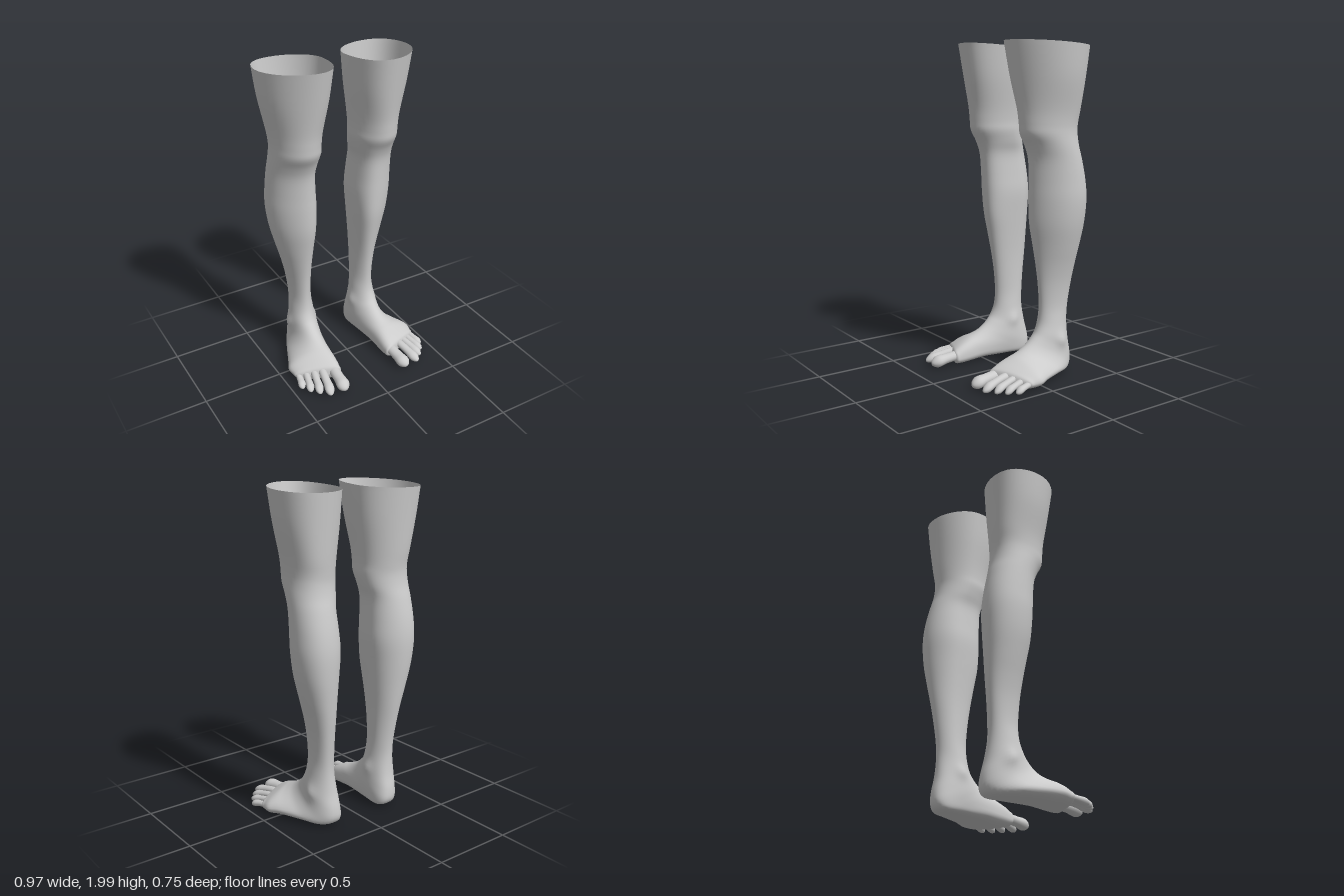
import * as THREE from 'three';

const SEG = 40, SUB = 4;
const material = new THREE.MeshStandardMaterial({ color: 0xcccccc, side: THREE.DoubleSide });

// Leg sections: height, front z, back z, inner x, outer x, front ridge x, back ridge x
const LEG = [
  [1.985, 0.125, -0.35, 0.07, 0.483, 0.23, 0.31],
  [1.8, 0.088, -0.335, 0.086, 0.46, 0.235, 0.3],
  [1.62, 0.053, -0.32, 0.11, 0.42, 0.25, 0.29],
  [1.53, 0.043, -0.31, 0.118, 0.407, 0.255, 0.28],
  [1.47, 0.035, -0.308, 0.118, 0.406, 0.255, 0.28],
  [1.4, -0.002, -0.318, 0.13, 0.41, 0.25, 0.28],
  [1.32, -0.027, -0.34, 0.148, 0.413, 0.245, 0.285],
  [1.2, -0.035, -0.365, 0.142, 0.416, 0.24, 0.29],
  [1.08, -0.038, -0.376, 0.135, 0.416, 0.235, 0.29],
  [0.94, -0.046, -0.37, 0.145, 0.398, 0.23, 0.285],
  [0.8, -0.07, -0.355, 0.156, 0.363, 0.23, 0.27],
  [0.68, -0.09, -0.34, 0.163, 0.33, 0.23, 0.255],
  [0.56, -0.106, -0.323, 0.165, 0.305, 0.23, 0.245],
  [0.43, -0.115, -0.307, 0.163, 0.293, 0.23, 0.235],
];

// Foot sections, turning from level at the ankle to upright at the toes:
// top z, y, sole z, y, inner x, outer x, top ridge x, sole x, widest point, sole squareness, shear
const FOOT = [
  [-0.108, 0.34, -0.304, 0.33, 0.155, 0.3, 0.23, 0.23, 0.48, 1, 0],
  [-0.085, 0.28, -0.315, 0.22, 0.146, 0.312, 0.235, 0.22, 0.48, 0.9, 0],
  [-0.055, 0.245, -0.335, 0.13, 0.138, 0.315, 0.235, 0.215, 0.48, 0.85, 0],
  [-0.02, 0.215, -0.335, 0.06, 0.135, 0.325, 0.235, 0.21, 0.45, 0.75, 0],
  [0.02, 0.19, -0.29, 0.022, 0.14, 0.35, 0.235, 0.215, 0.4, 0.6, 0],
  [0.065, 0.17, -0.17, 0.02, 0.15, 0.385, 0.24, 0.24, 0.38, 0.55, 0.1],
  [0.11, 0.155, 0, 0.02, 0.16, 0.425, 0.245, 0.28, 0.36, 0.5, 0.25],
  [0.16, 0.135, 0.12, 0.01, 0.163, 0.45, 0.25, 0.3, 0.38, 0.5, 0.4],
  [0.2, 0.115, 0.19, 0.008, 0.168, 0.445, 0.255, 0.3, 0.4, 0.5, 0.45],
  [0.225, 0.095, 0.22, 0.015, 0.178, 0.435, 0.26, 0.3, 0.45, 0.6, 0.45],
  [0.235, 0.06, 0.235, 0.05, 0.25, 0.36, 0.3, 0.3, 0.5, 1, 0.45],
];

// Toes: base x, y, z, tip x, z, radius
const TOES = [
  ['bigToe', 0.212, 0.065, 0.17, 0.226, 0.375, 0.042],
  ['secondToe', 0.285, 0.072, 0.17, 0.32, 0.362, 0.031],
  ['thirdToe', 0.33, 0.066, 0.14, 0.37, 0.316, 0.028],
  ['fourthToe', 0.372, 0.058, 0.11, 0.41, 0.27, 0.026],
  ['littleToe', 0.41, 0.05, 0.07, 0.44, 0.216, 0.025],
];

// Smoothly subdivide a list of section rows
function refine(rows) {
  const out = [];
  for (let i = 0; i < rows.length - 1; i++) {
    const a = rows[Math.max(i - 1, 0)], b = rows[i], c = rows[i + 1];
    const d = rows[Math.min(i + 2, rows.length - 1)];
    for (let k = 0; k < SUB; k++) {
      const t = k / SUB;
      out.push(b.map((v, j) => v + 0.5 * t * (c[j] - a[j]
        + t * (2 * a[j] - 5 * v + 4 * c[j] - d[j] + t * (3 * (v - c[j]) + d[j] - a[j])))));
    }
  }
  out.push(rows[rows.length - 1]);
  return out;
}

// Skin closed rings of points; side = -1 mirrors across x
function skin(name, rings, side) {
  const n = rings[0].length, pos = [], index = [];
  rings.forEach(r => r.forEach(([x, y, z]) => pos.push(x * side, y, z)));
  for (let i = 0; i < rings.length - 1; i++) {
    for (let j = 0; j < n; j++) {
      const a = i * n + j, b = i * n + (j + 1) % n, c = a + n, d = b + n;
      if (side > 0) index.push(a, b, c, b, d, c);
      else index.push(a, c, b, b, c, d);
    }
  }
  const g = new THREE.BufferGeometry();
  g.setAttribute('position', new THREE.Float32BufferAttribute(pos, 3));
  g.setIndex(index);
  g.computeVertexNormals();
  const mesh = new THREE.Mesh(g, material);
  mesh.name = name;
  return mesh;
}

const bump = (y, z, cy, cz, r) => Math.exp(-((y - cy) ** 2 + (z - cz) ** 2) / (r * r));

// One section of the leg or foot
function sectionRing([zF, yF, zB, yB, xin, xout, xf, xb, m, p, shear]) {
  const cx = (xin + xout) / 2, hw = (xout - xin) / 2, ring = [];
  for (let j = 0; j < SEG; j++) {
    const t = j / SEG * Math.PI * 2, c = Math.cos(t), s = Math.sin(t);
    const front = s > 0, f = m + s * (front ? 1 - m : m);
    let x = cx + hw * Math.sign(c) * Math.abs(c) ** (front ? 1 : p);
    x += ((front ? xf : xb) - cx) * s * s;
    const y = yB + (yF - yB) * f;
    const z = zB + (zF - zB) * f - shear * Math.max(0, x - 0.2);
    // ankle bones
    if (c > 0) x += 0.014 * c * bump(y, z, 0.22, -0.22, 0.04);
    else x += 0.014 * c * bump(y, z, 0.25, -0.19, 0.04);
    ring.push([x, y, z]);
  }
  return ring;
}

// Toe: bulb-ended finger that arches and drops to the ground
function makeToe([name, bx, by, bz, tx, tz, r], side) {
  const rings = [], N = 18, n = 16;
  for (let i = 0; i <= N; i++) {
    const u = Math.sin(i / N * Math.PI / 2);
    const end = Math.sqrt(Math.max(0, 1 - (Math.max(0, u - 0.78) / 0.22) ** 2));
    const w = r * (0.84 + 0.16 * Math.exp(-(((u - 0.78) / 0.16) ** 2))) * end;
    const h = w * 0.85;
    const cy = by + (r * 0.85 + 0.004 - by) * u ** 1.6;
    const ring = [];
    for (let j = 0; j < n; j++) {
      const t = j / n * Math.PI * 2;
      ring.push([bx + (tx - bx) * u + w * Math.cos(t), cy + h * Math.sin(t), bz + (tz - bz) * u]);
    }
    rings.push(ring);
  }
  return skin(name, rings, side);
}

export function createModel() {
  const model = new THREE.Group();
  model.name = 'legs';
  // the cut rim at the top slopes down toward the back
  const legRows = LEG.map(([y, zF, zB, xin, xout, xf, xb], i) => {
    const tilt = i === 0 ? 0.015 : 0;
    return [zF, y + tilt, zB, y - tilt, xin, xout, xf, xb, 0.42, 0.95, 0];
  });
  const rings = refine([...legRows, ...FOOT]).map(sectionRing);
  for (const [side, name] of [[1, 'leftLeg'], [-1, 'rightLeg']]) {
    const leg = new THREE.Group();
    leg.name = name;
    leg.add(skin('legAndFoot', rings, side));
    TOES.forEach(t => leg.add(makeToe(t, side)));
    model.add(leg);
  }
  return model;
}
